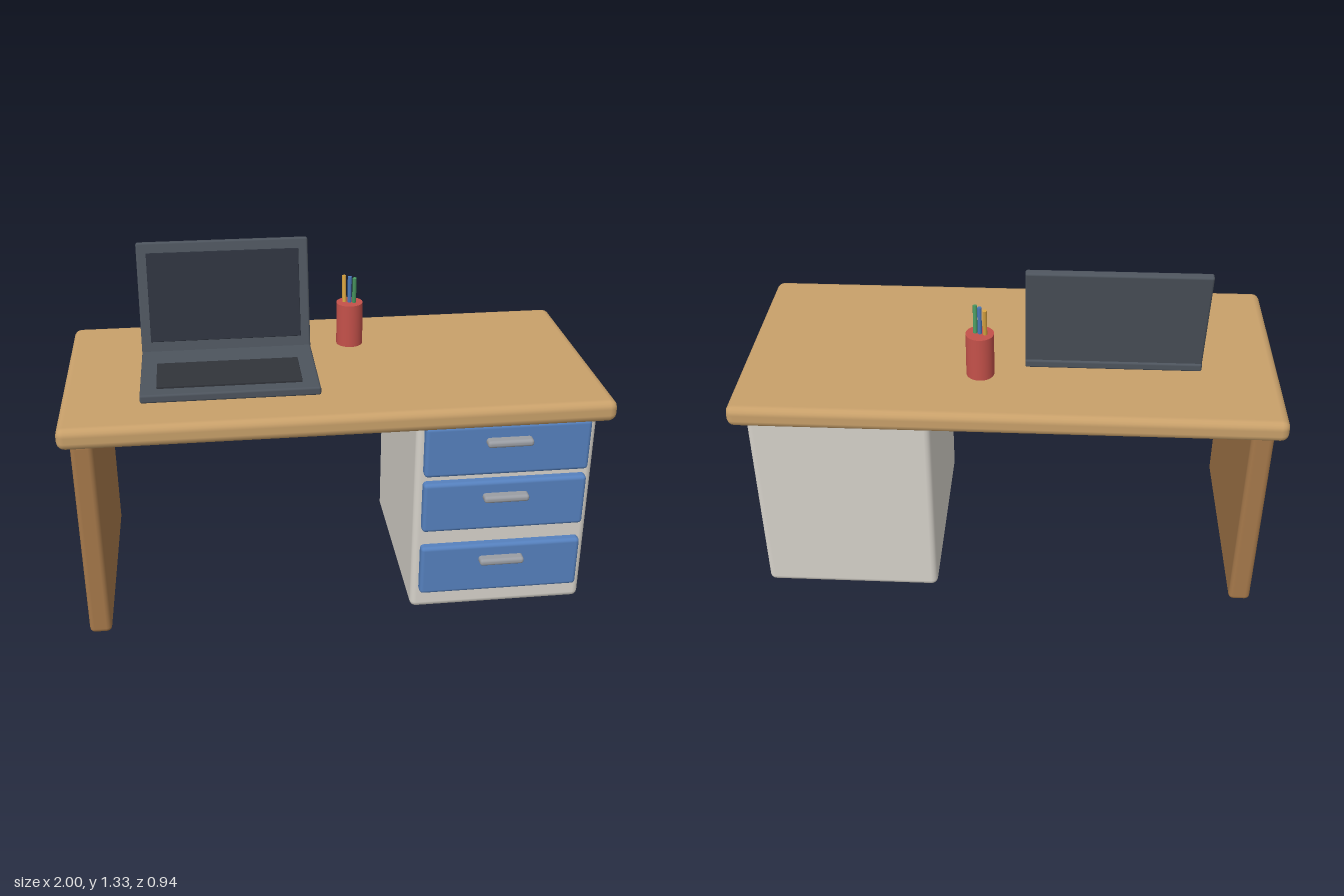
import * as THREE from 'three';
import { RoundedBoxGeometry } from 'three/addons/geometries/RoundedBoxGeometry.js';

const paint = (color) => new THREE.MeshStandardMaterial({ color });

// Rounded box given by its [min, max] range on each axis
function slab(name, [x0, x1], [y0, y1], [z0, z1], radius, material, segments = 2) {
  const geometry = new RoundedBoxGeometry(x1 - x0, y1 - y0, z1 - z0, segments, radius);
  const mesh = new THREE.Mesh(geometry, material);
  mesh.position.set((x0 + x1) / 2, (y0 + y1) / 2, (z0 + z1) / 2);
  mesh.name = name;
  return mesh;
}

function createDesk() {
  const desk = new THREE.Group();
  desk.name = 'desk';
  desk.add(
    slab('desktop', [-1, 1], [0.81, 0.893], [-0.467, 0.467], 0.03, paint(0xc8a06a)),
    slab('sidePanel', [-0.96, -0.877], [0, 0.812], [-0.42, 0.42], 0.02, paint(0xa5784a)),
    slab('cabinet', [0.275, 0.95], [0.003, 0.812], [-0.4, 0.4], 0.025, paint(0xd6d2ca))
  );

  // Three drawers, each with a bar handle
  const blue = paint(0x5580bd);
  const metal = paint(0x9a9da3);
  const drawers = [[0.602, 0.808, 0.745], [0.366, 0.574, 0.513], [0.088, 0.297, 0.236]];
  for (const [bottom, top, handleY] of drawers) {
    const drawer = new THREE.Group();
    drawer.name = 'drawer';
    drawer.add(
      slab('drawerFront', [0.304, 0.922], [bottom, top], [0.37, 0.433], 0.015, blue),
      slab('handle', [0.527, 0.698], [handleY - 0.014, handleY + 0.014], [0.42, 0.468], 0.012, metal)
    );
    desk.add(drawer);
  }
  return desk;
}

function createLaptop() {
  const laptop = new THREE.Group();
  laptop.name = 'laptop';
  const shell = paint(0x4d545d);
  const keys = paint(0x31343a);
  laptop.add(
    slab('laptopBase', [-0.713, -0.059], [0.893, 0.925], [-0.147, 0.285], 0.008, shell),
    slab('keyboard', [-0.653, -0.122], [0.915, 0.933], [0.022, 0.232], 0.002, keys, 1)
  );

  // Lid leans back about its hinge
  const lid = new THREE.Group();
  lid.name = 'laptopLid';
  lid.position.set(-0.386, 0.912, -0.122);
  lid.rotation.x = -0.205;
  lid.add(
    slab('lidShell', [-0.327, 0.327], [0, 0.43], [-0.015, 0.015], 0.008, shell),
    slab('display', [-0.29, 0.29], [0.048, 0.39], [0.005, 0.021], 0.002, paint(0x2d323d), 1)
  );
  laptop.add(lid);
  return laptop;
}

function createPencilCup() {
  const cup = new THREE.Group();
  cup.name = 'pencilCup';
  cup.position.set(0.105, 0.893, -0.191);

  const body = new THREE.Mesh(new THREE.CylinderGeometry(0.052, 0.052, 0.172, 32), paint(0xc4514a));
  body.name = 'cupBody';
  body.position.y = 0.086;
  cup.add(body);

  // Pencils fan out front to back
  const pencils = [[-0.02, -0.12, 0xd9a441], [0, 0.02, 0x4a78b8], [0.017, 0.13, 0x4a9a62]];
  for (const [x, lean, color] of pencils) {
    const pencil = new THREE.Mesh(new THREE.CylinderGeometry(0.008, 0.008, 0.2, 12), paint(color));
    pencil.name = 'pencil';
    pencil.position.set(x, 0.178, lean * 0.05);
    pencil.rotation.x = lean;
    cup.add(pencil);
  }
  return cup;
}

export function createModel() {
  const model = new THREE.Group();
  model.name = 'workDesk';
  model.add(createDesk(), createLaptop(), createPencilCup());
  return model;
}
